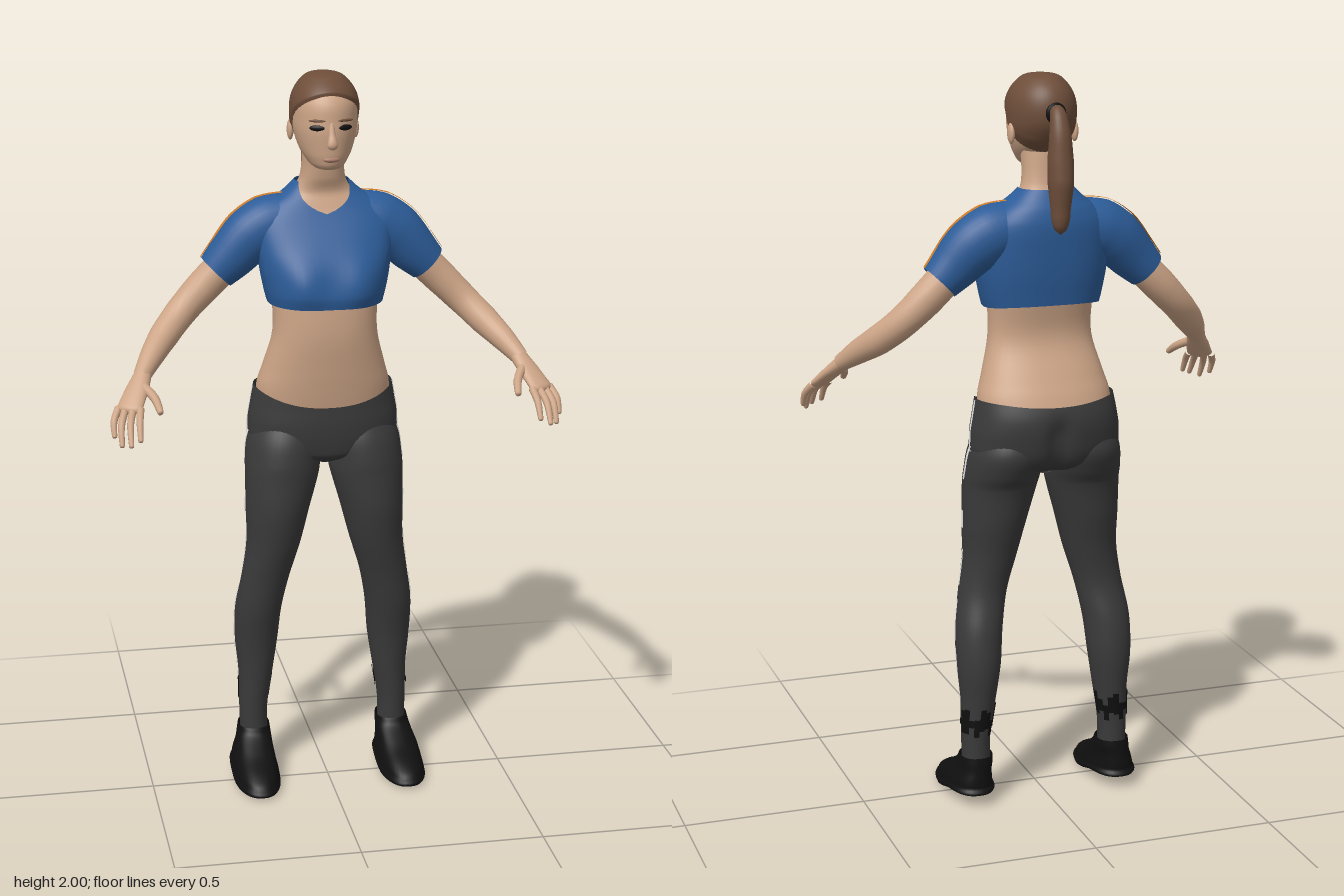
import * as THREE from 'three';
import { mergeVertices } from 'three/addons/utils/BufferGeometryUtils.js';

const mat = (name, color, open) => {
  const m = new THREE.MeshStandardMaterial({ color });
  m.name = name;
  if (open) m.side = THREE.DoubleSide;
  return m;
};
const spow = (v, e) => Math.sign(v) * Math.pow(Math.abs(v), e);

// Grid surface from point(i, j), i around and j along
function surface(point, nu, nv) {
  const pos = [], idx = [];
  for (let j = 0; j <= nv; j++)
    for (let i = 0; i <= nu; i++) pos.push(...point(i / nu, j).toArray());
  for (let j = 0; j < nv; j++)
    for (let i = 0; i < nu; i++) {
      const a = j * (nu + 1) + i, b = a + nu + 1;
      idx.push(a, b, a + 1, b, b + 1, a + 1);
    }
  const g = new THREE.BufferGeometry();
  g.setAttribute('position', new THREE.Float32BufferAttribute(pos, 3));
  g.setIndex(idx);
  const merged = mergeVertices(g, 1e-5);
  merged.computeVertexNormals();
  return merged;
}

// Smooth value of a ring table at height y; ring = [y, cx, cz, rx, front, back]
function ringAt(rings, y) {
  const last = rings.length - 1;
  y = THREE.MathUtils.clamp(y, rings[0][0], rings[last][0]);
  let i = 0;
  while (i < last - 1 && y > rings[i + 1][0]) i++;
  const slope = (k, c) => {
    const a = rings[Math.max(0, k - 1)], b = rings[Math.min(last, k + 1)];
    return (b[c] - a[c]) / (b[0] - a[0]);
  };
  const h = rings[i + 1][0] - rings[i][0], t = (y - rings[i][0]) / h, t2 = t * t, t3 = t2 * t;
  return [1, 2, 3, 4, 5].map(c =>
    (2 * t3 - 3 * t2 + 1) * rings[i][c] + (t3 - 2 * t2 + t) * h * slope(i, c) +
    (3 * t2 - 2 * t3) * rings[i + 1][c] + (t3 - t2) * h * slope(i + 1, c));
}

// Stack of level rings; lo/hi trim the edges by angle, a0..a1 takes a strip
function loft(rings, o = {}) {
  const { e = 1, nu = 40, sub = 5, a0 = 0, a1 = Math.PI * 2, grow = 0, scale = () => 1, tweak } = o;
  const y0 = rings[0][0], y1 = rings[rings.length - 1][0];
  const lo = o.lo || (() => y0), hi = o.hi || (() => y1), rows = [];
  for (let i = 0; i < rings.length - 1; i++)
    for (let k = 0; k < sub; k++) rows.push(THREE.MathUtils.lerp(rings[i][0], rings[i + 1][0], k / sub));
  rows.push(y1);
  return surface((u, j) => {
    const a = a0 + (a1 - a0) * u, v = (rows[j] - y0) / (y1 - y0);
    const y = lo(a) + (hi(a) - lo(a)) * v;
    const [cx, cz, rx, f, b] = ringAt(rings, y);
    const c = spow(Math.cos(a), e), s = spow(Math.sin(a), e), k = scale(v);
    const p = new THREE.Vector3(cx + c * (Math.max(rx, 0) * k + grow), y,
      cz + s * (Math.max(s > 0 ? f : b, 0) * k + grow));
    if (tweak) tweak(p);
    return p;
  }, nu, rows.length - 1);
}

// Tube along points [x, y, z, rSide, rUp]; angle 90 degrees points along ref
function sweep(pts, ref = [0, 1, 0], { nu = 20, sub = 5, a0 = 0, a1 = Math.PI * 2, grow = 0 } = {}) {
  const curve = new THREE.CatmullRomCurve3(pts.map(p => new THREE.Vector3(p[0], p[1], p[2])));
  const n = (pts.length - 1) * sub, R = new THREE.Vector3(...ref);
  return surface((u, j) => {
    const t = j / n, k = Math.min(Math.floor(t * (pts.length - 1)), pts.length - 2), f = t * (pts.length - 1) - k;
    const T = curve.getTangent(t), N = T.clone().cross(R).normalize(), U = N.clone().cross(T);
    const r = c => {
      const q = pts[k + 1][c] === 0 ? 1 - Math.sqrt(1 - f * f) : f; // round tips
      return THREE.MathUtils.lerp(pts[k][c], pts[k + 1][c], q) + grow;
    };
    const a = a0 + (a1 - a0) * u;
    return curve.getPoint(t).addScaledVector(N, Math.cos(a) * r(3)).addScaledVector(U, Math.sin(a) * r(4));
  }, nu, n);
}

function mirrored(g) {
  const m = g.clone().scale(-1, 1, 1), ix = m.index.array;
  for (let i = 0; i < ix.length; i += 3) [ix[i], ix[i + 1]] = [ix[i + 1], ix[i]];
  return m;
}
const ellipsoid = (x, y, z, rx, ry, rz, turn = 0) =>
  new THREE.SphereGeometry(1, 20, 12).scale(rx, ry, rz).rotateY(turn).translate(x, y, z);

export function createModel() {
  const root = new THREE.Group();
  root.name = 'woman';
  const skin = mat('skin', 0xcda587), lip = mat('lips', 0xb0806c), hair = mat('hair', 0x6e4e3a, true);
  const blue = mat('shirtBlue', 0x2c5c98, true), grey = mat('trouserGrey', 0x3a3a3a, true);
  const black = mat('black', 0x101010, true), orange = mat('orange', 0xd07c28, true), white = mat('white', 0xe6e6e6, true);
  const add = (name, g, m) => {
    const mesh = new THREE.Mesh(g, m);
    mesh.name = name;
    root.add(mesh);
  };
  const pair = (name, g, m) => {
    add('left' + name, g, m);
    add('right' + name, mirrored(g), m);
  };

  // Torso and neck
  add('torso', loft([
    [1.02, 0, -.08, .17, .09, .09], [1.10, 0, -.08, .183, .105, .12], [1.15, 0, -.075, .182, .108, .113],
    [1.20, 0, -.065, .168, .105, .10], [1.30, 0, -.045, .143, .095, .078], [1.40, 0, -.045, .145, .09, .09],
    [1.50, 0, -.05, .155, .085, .11], [1.60, 0, -.06, .145, .05, .105], [1.65, 0, -.075, .115, .045, .085],
    [1.68, 0, -.085, .08, .047, .06], [1.72, 0, -.08, .06, .055, .05], [1.80, 0, -.062, .056, .05, .06],
  ], { e: .88 }), skin);

  // Short shirt with V neck
  add('shirt', loft([
    [1.38, 0, -.05, .155, .135, .112], [1.42, 0, -.05, .165, .143, .118], [1.48, 0, -.05, .176, .128, .127],
    [1.55, 0, -.05, .182, .087, .133], [1.61, 0, -.055, .175, .057, .13], [1.65, 0, -.07, .14, .052, .108],
    [1.68, 0, -.085, .10, .054, .08], [1.705, 0, -.09, .073, .05, .062],
  ], {
    e: .82, nu: 64,
    lo: a => 1.385 + .015 * Math.max(0, -Math.sin(a)),
    hi: a => 1.705 - (Math.sin(a) > 0 ? .08 * Math.max(0, 1 - Math.abs(Math.cos(a)) / .9) : 0),
    tweak: p => {
      const g = Math.exp(-(((p.y - 1.45) / .06) ** 2));
      if (p.z > 0) p.z += .016 * g * (Math.exp(-(((Math.abs(p.x) - .08) / .05) ** 2)) - .5);
    },
  }), blue);
  const sleeve = [
    [.08, 1.60, -.087, .07, .072], [.15, 1.585, -.086, .074, .08], [.20, 1.555, -.084, .07, .077],
    [.25, 1.505, -.08, .06, .066], [.29, 1.465, -.08, .053, .055],
  ];
  pair('Sleeve', sweep(sleeve, [0, 1, 0], { nu: 28 }), blue);
  pair('SleeveStripe', sweep(sleeve, [0, 1, 0], { nu: 4, a0: 1.45, a1: 1.69, grow: .004 }), orange);

  // Arms and hands
  pair('Arm', sweep([
    [.25, 1.50, -.08, .046, .048], [.33, 1.42, -.08, .046, .046], [.39, 1.36, -.063, .042, .042],
    [.44, 1.31, -.02, .039, .04], [.48, 1.27, .035, .032, .033], [.515, 1.23, .09, .023, .023],
  ]), skin);
  const palmUp = [.3, .78, .54];
  pair('Palm', sweep([
    [.505, 1.242, .075, .022, .021], [.53, 1.203, .12, .032, .018], [.553, 1.168, .158, .036, .014],
    [.561, 1.155, .171, 0, 0],
  ], palmUp), skin);
  const fingers = {
    IndexFinger: [[.527, 1.166, .172], [.533, 1.14, .208], [.535, 1.10, .236]],
    MiddleFinger: [[.546, 1.166, .165], [.558, 1.135, .21], [.56, 1.09, .245]],
    RingFinger: [[.565, 1.164, .154], [.58, 1.13, .194], [.582, 1.085, .222]],
    LittleFinger: [[.581, 1.164, .141], [.597, 1.135, .168], [.598, 1.10, .188]],
    Thumb: [[.515, 1.215, .115], [.488, 1.19, .165], [.479, 1.165, .207]],
  };
  for (const [name, [a, b, c]] of Object.entries(fingers)) {
    const r = name === 'Thumb' ? .013 : .0105;
    const tip = c.map((v, i) => v + (v - b[i]) * .12);
    pair(name, sweep([[...a, r, r], [...b, r * .9, r * .9], [...c, r * .65, r * .65], [...tip, 0, 0]], palmUp, { nu: 10, sub: 4 }), skin);
  }

  // Trousers: hips, legs, side stripes
  const hips = [
    [.925, 0, -.06, .02, .03, .03], [.95, 0, -.07, .12, .09, .095], [.98, 0, -.08, .195, .113, .118],
    [1.04, 0, -.08, .207, .12, .135], [1.10, 0, -.08, .199, .118, .137], [1.16, 0, -.078, .188, .115, .118],
  ];
  add('hips', loft(hips, {
    e: .9, nu: 64,
    hi: a => 1.145 - .045 * Math.max(0, Math.sin(a)) ** 2 - .012 * Math.max(0, -Math.sin(a)) ** 4,
    tweak: p => {
      if (p.z < -.1) p.z += .022 * Math.exp(-((p.x / .025) ** 2)) * THREE.MathUtils.smoothstep(1.13 - p.y, 0, .08);
    },
  }), grey);
  const leg = [
    [.11, .2, -.085, .038, .045, .042], [.20, .2, -.085, .04, .048, .045], [.30, .193, -.085, .048, .055, .055],
    [.40, .19, -.085, .06, .065, .065], [.50, .185, -.07, .065, .07, .07], [.60, .167, -.05, .067, .065, .065],
    [.70, .145, -.045, .075, .08, .075], [.80, .132, -.05, .088, .10, .09], [.90, .118, -.055, .102, .104, .102],
    [.94, .114, -.065, .104, .113, .115], [1.0, .106, -.075, .104, .112, .125], [1.06, .1, -.08, .085, .09, .10],
  ];
  pair('Leg', loft(leg), grey);
  const strip = (rings, y0, y1, half, e) =>
    loft(rings, { e, nu: 2, sub: 3, a0: -half, a1: half, grow: .003, lo: () => y0, hi: () => y1 });
  pair('HipStripe', strip(hips, 1.0, 1.14, .03, .9), white);
  for (const [y0, y1] of [[.92, 1.02], [.78, .83], [.62, .72], [.47, .58], [.37, .45], [.29, .34]])
    pair('LegStripe', strip(leg, y0, y1, .055), white);

  // Ragged dark patches at the ankles
  for (let i = 0; i < 10; i++) {
    const a0 = -3.1 + i * .33, wave = Math.sin(i * 2.3);
    pair('AnklePatch', loft(leg, {
      nu: 4, sub: 1, a0, a1: a0 + .34, grow: .003, lo: () => .215 + .015 * wave, hi: () => .265 + .02 * Math.cos(i * 1.7),
    }), black);
  }

  // Shoes
  pair('Shoe', loft([
    [0, .208, -.02, 0, 0, 0], [.004, .208, -.02, .058, .15, .115], [.03, .208, -.02, .062, .16, .12],
    [.055, .207, -.03, .058, .135, .11], [.085, .204, -.05, .051, .085, .088], [.115, .201, -.075, .047, .058, .062],
    [.14, .2, -.085, .044, .052, .05],
  ], {
    e: .85, tweak: p => { p.y += .03 * (1 - p.y / .14) * THREE.MathUtils.smoothstep(.06 - p.z, 0, .14); },
  }), black);

  // Head
  const head = [
    [1.748, 0, .012, 0, 0, 0], [1.755, 0, 0, .034, .045, .03], [1.78, 0, -.02, .058, .079, .055],
    [1.81, 0, -.035, .073, .098, .08], [1.85, 0, -.045, .084, .111, .10], [1.88, 0, -.05, .087, .114, .108],
    [1.92, 0, -.05, .086, .109, .11], [1.95, 0, -.05, .076, .092, .10], [1.975, 0, -.052, .056, .065, .075],
    [1.988, 0, -.054, .035, .04, .046], [1.993, 0, -.055, 0, 0, 0],
  ];
  add('head', loft(head), skin);
  add('hairCap', loft(head, {
    nu: 48,
    lo: a => { const s = Math.sin(a); return s > 0 ? 1.85 + .095 * s ** .6 : 1.85 - .06 * (-s) ** .7; },
    scale: v => .985 + .075 * Math.min(1, v * 6),
    tweak: p => { p.y += .007 * THREE.MathUtils.smoothstep(p.y, 1.9, 1.99); },
  }), hair);
  pair('Ear', ellipsoid(.088, 1.845, -.07, .009, .028, .018), skin);
  pair('Eye', ellipsoid(.036, 1.867, .053, .022, .008, .006, .35), black);
  pair('Brow', ellipsoid(.038, 1.886, .054, .023, .0035, .005, .38), hair);
  add('nose', sweep([
    [0, 1.88, .058, .007, .006], [0, 1.85, .067, .009, .008], [0, 1.826, .074, .014, .011], [0, 1.812, .07, 0, 0],
  ], [0, 0, 1]), skin);
  add('lips', ellipsoid(0, 1.783, .054, .022, .008, .009), lip);

  // Ponytail and its band
  add('ponytail', sweep([
    [0, 1.90, -.15, .018, .018], [0, 1.908, -.182, .02, .02], [0, 1.86, -.203, .028, .028], [0, 1.79, -.207, .036, .034],
    [0, 1.73, -.21, .039, .034], [0, 1.66, -.209, .028, .026], [0, 1.595, -.209, 0, 0],
  ], [1, 0, 0], { nu: 24 }), hair);
  add('hairBand', new THREE.TorusGeometry(.02, .008, 10, 24).translate(0, 1.905, -.172), black);

  return root;
}
